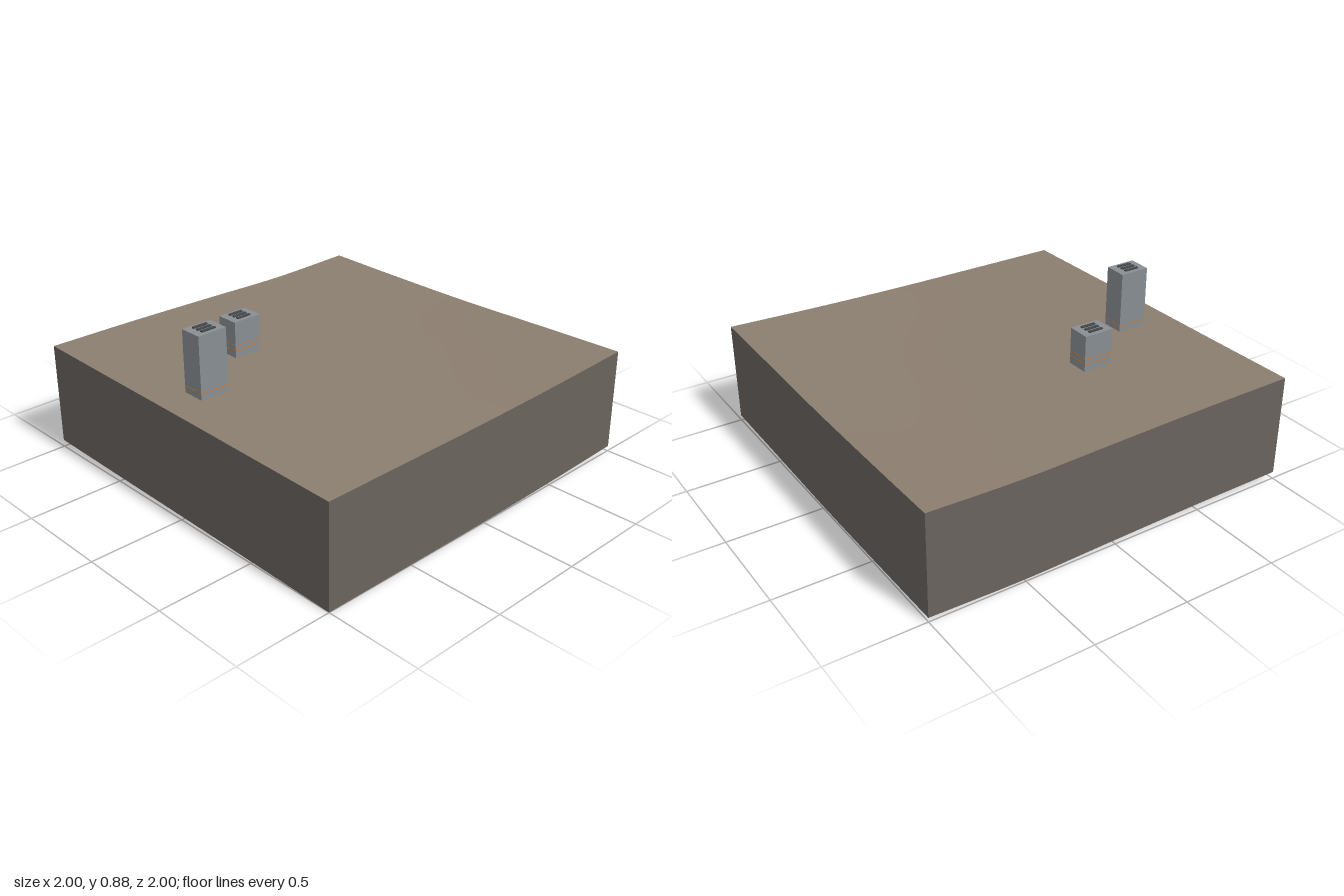
import * as THREE from 'three';

const mat = (name, color, side = THREE.FrontSide) => {
  const m = new THREE.MeshStandardMaterial({ color, side });
  m.name = name;
  return m;
};

// Ground heights on a 5 x 5 lattice: rows from back to front, columns from -x to +x
const HEIGHTS = [
  [0.557, 0.550, 0.548, 0.556, 0.563],
  [0.547, 0.542, 0.540, 0.541, 0.547],
  [0.558, 0.552, 0.546, 0.540, 0.538],
  [0.568, 0.560, 0.552, 0.543, 0.536],
  [0.572, 0.563, 0.555, 0.545, 0.535],
];
const SKIRT_DEPTH = 0.535;
const SEGMENTS = 32;

// Smooth interpolation along five evenly spaced values, t in -1..1
function smooth(values, t) {
  const s = THREE.MathUtils.clamp((t + 1) * 2, 0, 4);
  const i = Math.min(3, Math.floor(s));
  const f = s - i;
  const at = (k) => (k < 0 ? 2 * values[0] - values[1] : k > 4 ? 2 * values[4] - values[3] : values[k]);
  const [a, b, c, d] = [at(i - 1), at(i), at(i + 1), at(i + 2)];
  return b + 0.5 * f * (c - a + f * (2 * a - 5 * b + 4 * c - d + f * (3 * (b - c) + d - a)));
}
const groundHeight = (x, z) => smooth(HEIGHTS.map((row) => smooth(row, x)), z);

function addMesh(parent, name, geometry, material, x = 0, y = 0, z = 0) {
  const mesh = new THREE.Mesh(geometry, material);
  mesh.name = name;
  mesh.position.set(x, y, z);
  parent.add(mesh);
  return mesh;
}

export function createModel() {
  const model = new THREE.Group();
  model.name = 'terrainBlock';
  const soil = mat('soil', 0x8b7e70, THREE.DoubleSide);
  const cutEarth = mat('cutEarth', 0x69635d, THREE.DoubleSide);
  const concrete = mat('concrete', 0x888e92);
  const ventDark = mat('ventDark', 0x46494c);
  const orange = mat('orangeStripe', 0xc47a3c);

  // Gently rolling ground
  const ground = new THREE.PlaneGeometry(2, 2, SEGMENTS, SEGMENTS).rotateX(-Math.PI / 2);
  const gp = ground.attributes.position;
  for (let i = 0; i < gp.count; i++) gp.setY(i, groundHeight(gp.getX(i), gp.getZ(i)));
  ground.computeVertexNormals();
  addMesh(model, 'ground', ground, soil);

  // Four open-bottomed skirt walls whose lower edge follows the ground
  ['front', 'left', 'back', 'right'].forEach((side, k) => {
    const wall = new THREE.PlaneGeometry(2, 1, SEGMENTS, 1);
    wall.translate(0, 0, 1).rotateY((k * Math.PI) / 2);
    const p = wall.attributes.position;
    for (let i = 0; i < p.count; i++) {
      const top = groundHeight(p.getX(i), p.getZ(i));
      p.setY(i, p.getY(i) > 0 ? top : top - SKIRT_DEPTH);
    }
    addMesh(model, side + 'Skirt', wall, cutEarth);
  });

  // Block towers with rooftop vents and thin orange bands
  const addTower = (name, x, z, top, bands) => {
    const tower = new THREE.Group();
    tower.name = name;
    tower.position.set(x, 0, z);
    model.add(tower);
    const base = groundHeight(x, z) - 0.008;
    addMesh(tower, 'body', new THREE.BoxGeometry(0.12, top - base, 0.16), concrete, 0, (top + base) / 2, 0);
    for (const dx of [-0.03, 0, 0.03]) {
      addMesh(tower, 'roofVent', new THREE.BoxGeometry(0.014, 0.008, 0.08), ventDark, dx, top + 0.003, 0);
    }
    for (const y of bands) {
      addMesh(tower, 'band', new THREE.BoxGeometry(0.122, 0.005, 0.162), orange, 0, y, 0);
    }
  };
  addTower('shortTower', -0.337, 0.333, 0.746, [0.593, 0.622]);
  addTower('tallTower', -0.086, 0.748, 0.876, [0.588]);

  return model;
}
